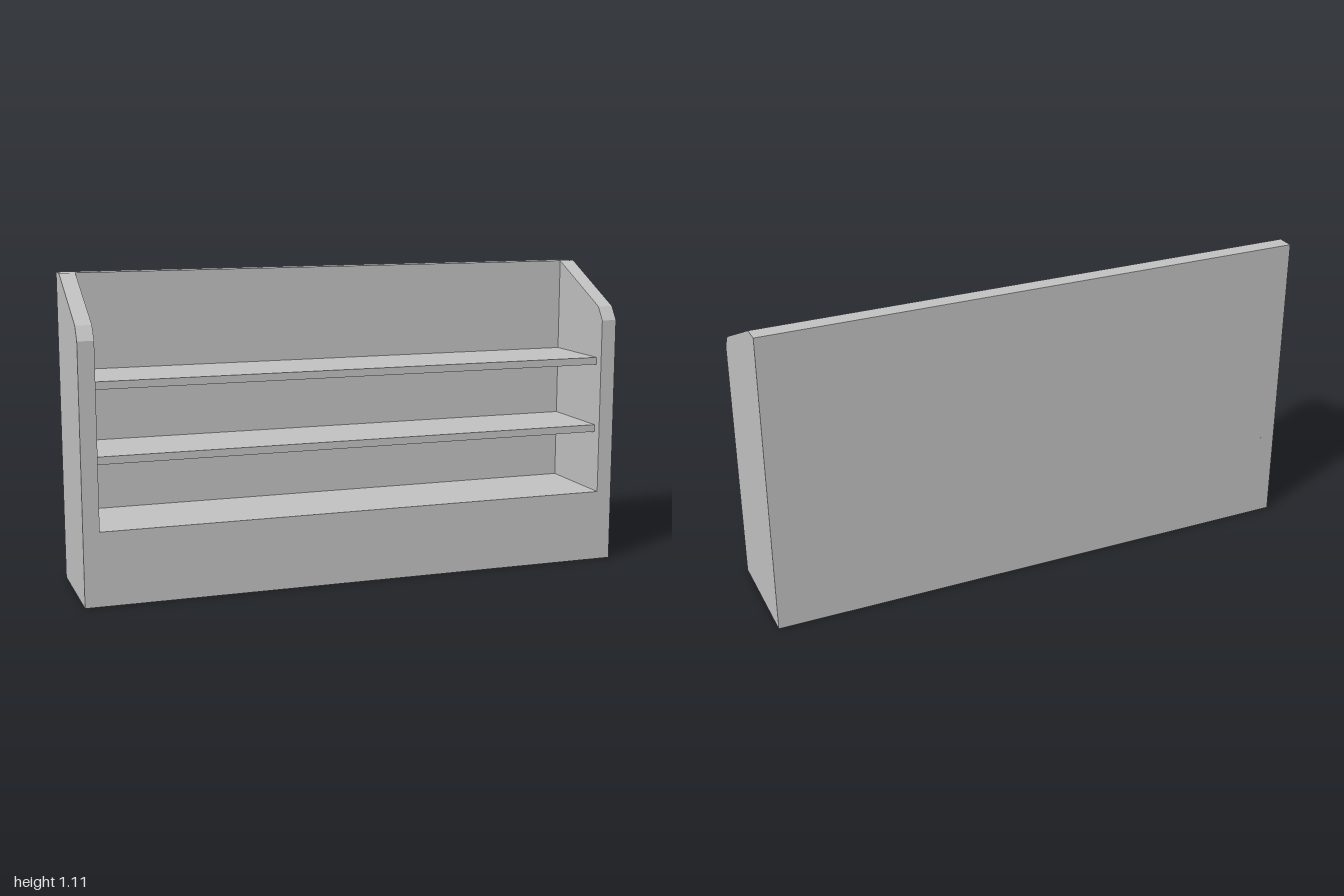
import * as THREE from 'three';

export function createModel() {
  const group = new THREE.Group();
  const grey = new THREE.MeshStandardMaterial({ color: 0xc0c0c0 });
  grey.name = 'light grey';

  const front = 0.205, back = -0.205, height = 1.11;
  const inner = 0.943, sideThickness = 1 - inner;
  const panelFront = -0.142, shelfFront = 0.17;

  function add(name, geometry) {
    const mesh = new THREE.Mesh(geometry, grey);
    mesh.name = name;
    group.add(mesh);
    return mesh;
  }

  // Board spanning the gap between the side panels
  function board(name, y0, y1, z0, z1) {
    const mesh = add(name, new THREE.BoxGeometry(inner * 2, y1 - y0, z1 - z0));
    mesh.position.set(0, (y0 + y1) / 2, (z0 + z1) / 2);
  }

  // Side panels with a sloped top and a clipped front corner
  const profile = [
    [front, 0], [back, 0], [back, height], [panelFront, height], [0.172, 0.96], [front, 0.911],
  ];
  const sideShape = new THREE.Shape(profile.map(([z, y]) => new THREE.Vector2(-z, y)));
  const sideGeometry = new THREE.ExtrudeGeometry(sideShape, { depth: sideThickness, bevelEnabled: false });
  sideGeometry.rotateY(Math.PI / 2);
  add('leftSide', sideGeometry).position.x = inner;
  add('rightSide', sideGeometry).position.x = -1;

  // Solid plinth and back panel
  board('base', 0, 0.262, back, front);
  board('backPanel', 0.262, height, back, panelFront);

  // Shelves, set slightly behind the front
  board('lowerShelf', 0.486, 0.513, panelFront, shelfFront);
  board('upperShelf', 0.742, 0.769, panelFront, shelfFront);

  return group;
}
